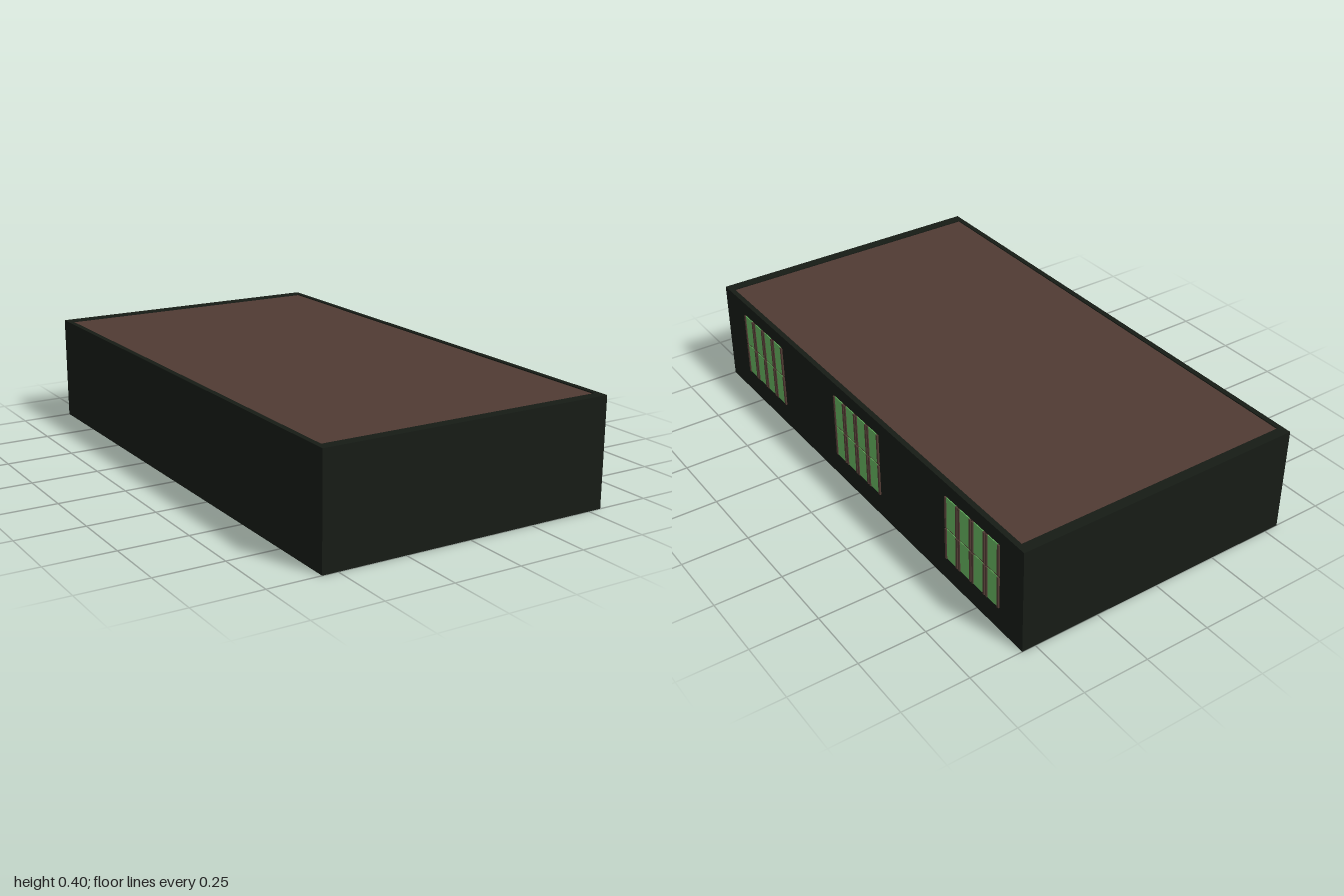
import * as THREE from 'three';

const mat = (color) => new THREE.MeshStandardMaterial({ color });

export function createModel() {
  const room = new THREE.Group();
  room.name = 'room';
  const wallMat = mat(0x161b15), brown = mat(0x503a33), green = mat(0x63b05d), floorMat = mat(0x1a2808);

  // Box given by its minimum and maximum on each axis
  const box = (parent, name, material, [x0, x1], [y0, y1], [z0, z1]) => {
    const mesh = new THREE.Mesh(new THREE.BoxGeometry(x1 - x0, y1 - y0, z1 - z0), material);
    mesh.position.set((x0 + x1) / 2, (y0 + y1) / 2, (z0 + z1) / 2);
    mesh.name = name;
    parent.add(mesh);
  };

  // Outer walls: thin along the sides, thicker at the ends
  const L = -0.557, R = 0.551, H = 0.4, side = 0.02, end = 0.04;
  box(room, 'frontWall', wallMat, [L, R], [0, H], [1 - end, 1]);
  box(room, 'backWall', wallMat, [L, R], [0, H], [-1, end - 1]);
  box(room, 'windowWall', wallMat, [R - side, R], [0, H], [end - 1, 1 - end]);
  box(room, 'plainWall', wallMat, [L, L + side], [0, H], [end - 1, 1 - end]);

  // Ceiling and floor slabs set between the walls, just below the rims
  const inX = [L + side, R - side], inZ = [end - 1, 1 - end];
  box(room, 'ceiling', brown, inX, [H - 0.025, H - 0.004], inZ);
  box(room, 'floor', floorMat, inX, [0.004, 0.025], inZ);

  // Windows: four narrow casements, each with two posts and two panes
  const y0 = 0.093, y1 = 0.347, yMid = 0.22, pitch = 0.077, width = 0.072, post = 0.009;
  for (const zc of [0.687, -0.008, -0.725]) {
    const win = new THREE.Group();
    win.name = 'window';
    for (let i = 0; i < 4; i++) {
      const z = zc + (i - 1.5) * pitch;
      const zIn = [z - width / 2 + post, z + width / 2 - post];
      for (const [a, b] of [[y0, yMid - 0.003], [yMid + 0.003, y1]]) {
        box(win, 'pane', green, [R - 0.005, R + 0.003], [a, b], zIn);
        box(win, 'post', brown, [R - 0.005, R + 0.006], [a, b], [z - width / 2, zIn[0]]);
        box(win, 'post', brown, [R - 0.005, R + 0.006], [a, b], [zIn[1], z + width / 2]);
      }
    }
    // Slim bar behind the split between upper and lower panes
    box(win, 'crossbar', brown, [R - 0.005, R + 0.001], [yMid - 0.003, yMid + 0.003], [zc - 0.15, zc + 0.15]);
    room.add(win);
  }
  return room;
}
